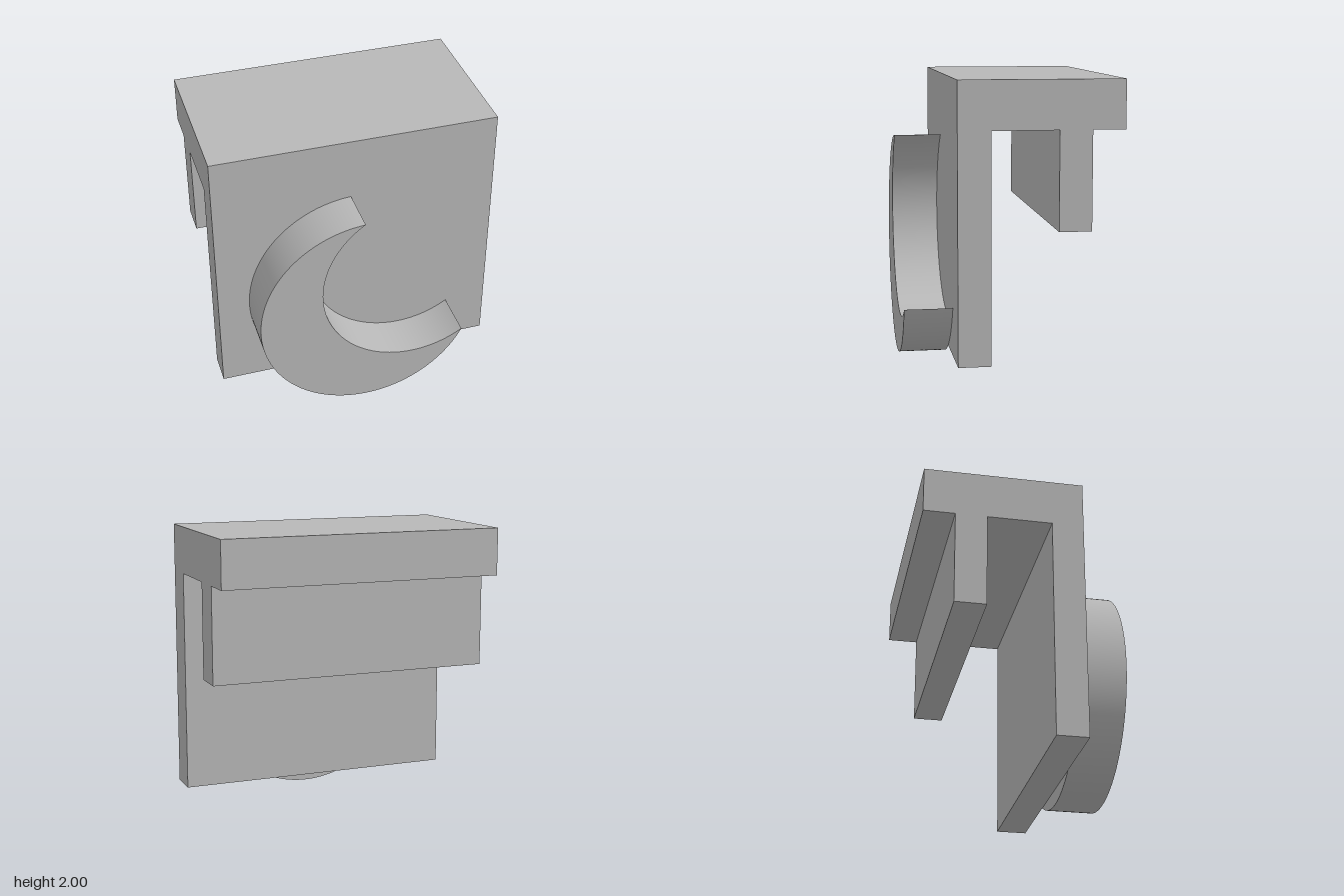
import * as THREE from 'three';
import { toCreasedNormals } from 'three/addons/utils/BufferGeometryUtils.js';

export function createModel() {
  const model = new THREE.Group();
  model.name = 'moonHook';
  const grey = new THREE.MeshStandardMaterial({ color: 0xb8b8b8 });
  grey.name = 'grey';

  // Bracket: side profile as [z, y], extruded across the width
  const profile = [
    [0.39, 0.11], [0.39, 2], [-0.72, 2], [-0.72, 1.67], [-0.5, 1.67],
    [-0.5, 1], [-0.28, 1], [-0.28, 1.67], [0.17, 1.67], [0.17, 0.11],
  ];
  const side = new THREE.Shape(profile.map(([z, y]) => new THREE.Vector2(-z, y)));
  const bracketGeometry = new THREE.ExtrudeGeometry(side, { depth: 2, bevelEnabled: false });
  bracketGeometry.translate(0, 0, -1).rotateY(Math.PI / 2);
  const bracket = new THREE.Mesh(bracketGeometry, grey);
  bracket.name = 'bracket';
  model.add(bracket);

  // Crescent: large outer arc, closed by a half circle between the two tips
  const outer = { x: 0, y: 0.778, r: 0.778 };
  const inner = { x: 0.333, y: 1, r: 0.667 };
  const tilt = Math.atan2(inner.y - outer.y, inner.x - outer.x);
  const half = Math.atan2(inner.r, Math.hypot(inner.x - outer.x, inner.y - outer.y));
  const moon = new THREE.Shape();
  moon.absarc(outer.x, outer.y, outer.r, tilt + half, tilt - half + 2 * Math.PI, false);
  moon.absarc(inner.x, inner.y, inner.r, tilt - Math.PI / 2 + 2 * Math.PI, tilt + Math.PI / 2, true);
  const moonGeometry = new THREE.ExtrudeGeometry(moon, {
    depth: 0.33, bevelEnabled: false, curveSegments: 64,
  });
  moonGeometry.translate(0, 0, 0.39);
  const crescent = new THREE.Mesh(toCreasedNormals(moonGeometry, 0.5), grey);
  crescent.name = 'crescentHook';
  model.add(crescent);

  return model;
}
